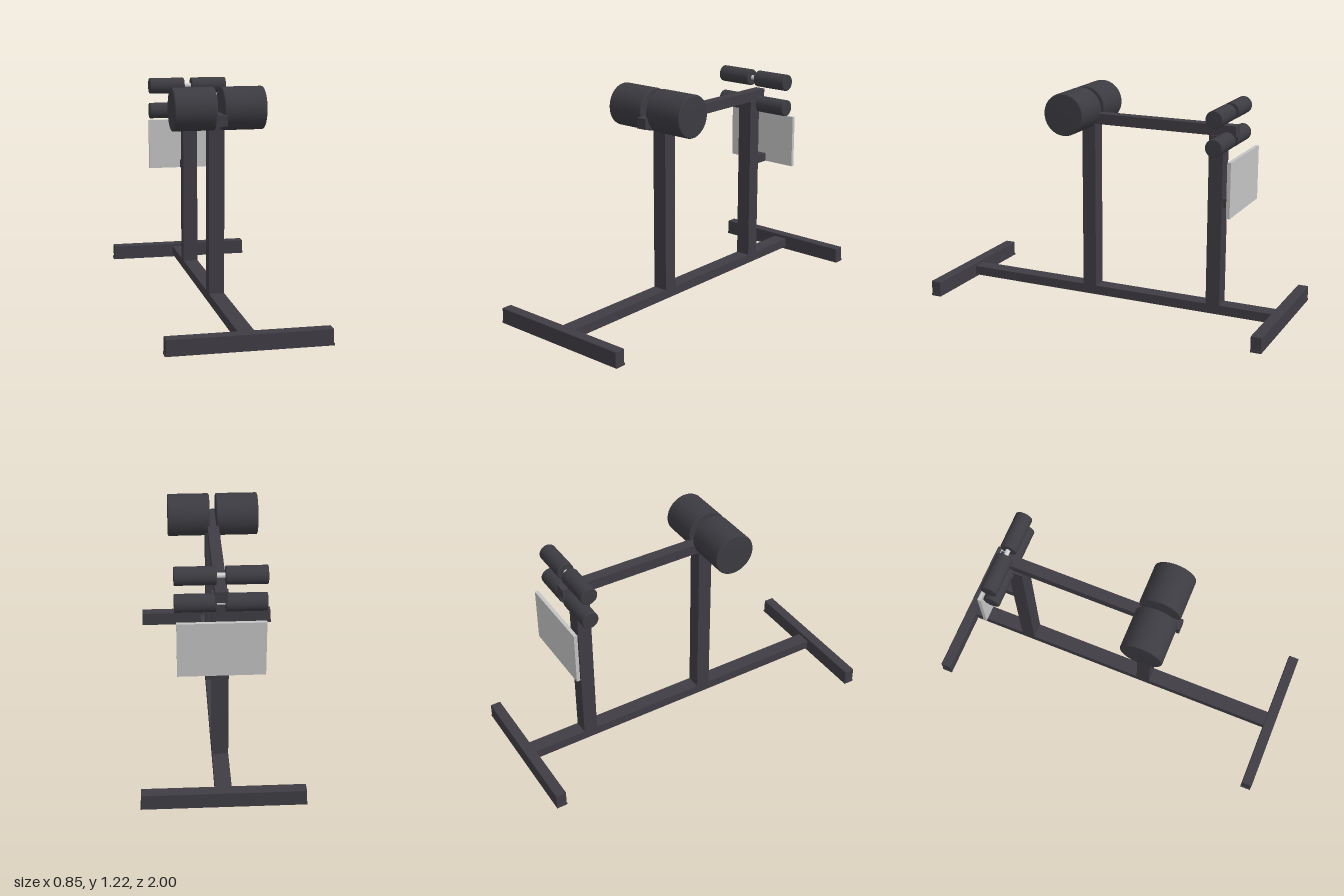
import * as THREE from 'three';
import { RoundedBoxGeometry } from 'three/addons/geometries/RoundedBoxGeometry.js';

const mat = (name, color) => new THREE.MeshStandardMaterial({ name, color });

export function createModel() {
  const model = new THREE.Group();
  model.name = 'backExtensionBench';
  const frame = mat('charcoal frame', 0x3f3d44);
  const vinyl = mat('dark vinyl', 0x3c3b41);
  const panel = mat('light grey panel', 0xc3c3c3);
  const steel = mat('bright steel', 0xcfcfcf);

  const add = (name, geometry, material, x, y, z) => {
    const mesh = new THREE.Mesh(geometry, material);
    mesh.name = name;
    mesh.position.set(x, y, z);
    model.add(mesh);
    return mesh;
  };
  // Box centred on x, given its width and its y and z ranges
  const beam = (name, width, y0, y1, z0, z1, material = frame) =>
    add(name, new THREE.BoxGeometry(width, y1 - y0, z1 - z0), material, 0, (y0 + y1) / 2, (z0 + z1) / 2);

  // Base: long spine and two cross feet on thin soles
  beam('baseSpine', 0.086, 0.015, 0.068, -0.94, 0.94);
  for (const side of [1, -1]) {
    const end = side > 0 ? 'front' : 'rear';
    add(end + 'Foot', new RoundedBoxGeometry(0.846, 0.083, 0.06, 2, 0.004), frame, 0, 0.0455, side * 0.97);
    add(end + 'FootSole', new THREE.BoxGeometry(0.854, 0.012, 0.06), frame, 0, 0.006, side * 0.97);
  }

  // Uprights and top rail
  beam('frontPost', 0.086, 0.068, 1.02, 0.125, 0.205);
  beam('rearPost', 0.086, 0.068, 1.02, -0.63, -0.55);
  beam('topRail', 0.062, 1.018, 1.077, -0.695, 0.345);

  // Foot plate on its bracket
  beam('footPlateBracket', 0.062, 0.627, 0.675, -0.72, -0.63);
  beam('footPlate', 0.45, 0.627, 0.927, -0.74, -0.72, panel);

  // Padded cylinder lying along x with a softly rounded rim
  const padGeometry = (radius, length, bevel) => {
    const h = length / 2;
    const rim = (sign) => [0, 1, 2, 3].map((i) => {
      const a = (i / 3) * Math.PI / 2;
      return new THREE.Vector2(radius - bevel + bevel * Math.sin(a), sign * (h - bevel + bevel * Math.cos(a)));
    });
    const points = [new THREE.Vector2(0, -h), ...rim(-1), ...rim(1).reverse(), new THREE.Vector2(0, h)];
    return new THREE.LatheGeometry(points, 48).rotateZ(Math.PI / 2);
  };
  const padPair = (name, radius, inner, outer, y, z, bevel) => {
    for (const side of [1, -1]) {
      add((side > 0 ? 'left' : 'right') + name, padGeometry(radius, outer - inner, bevel), vinyl,
        side * (inner + outer) / 2, y, z);
    }
  };

  // Hip pads and ankle rollers
  padPair('HipPad', 0.117, 0.018, 0.251, 1.1, 0.215, 0.008);
  for (const [name, y] of [['Upper', 1.145], ['Lower', 0.995]]) {
    padPair(name + 'Roller', 0.047, 0.022, 0.234, y, -0.645, 0.005);
    add(name.toLowerCase() + 'RollerRod',
      new THREE.CylinderGeometry(0.013, 0.013, 0.4, 20).rotateZ(Math.PI / 2), steel, 0, y, -0.645);
  }
  return model;
}
